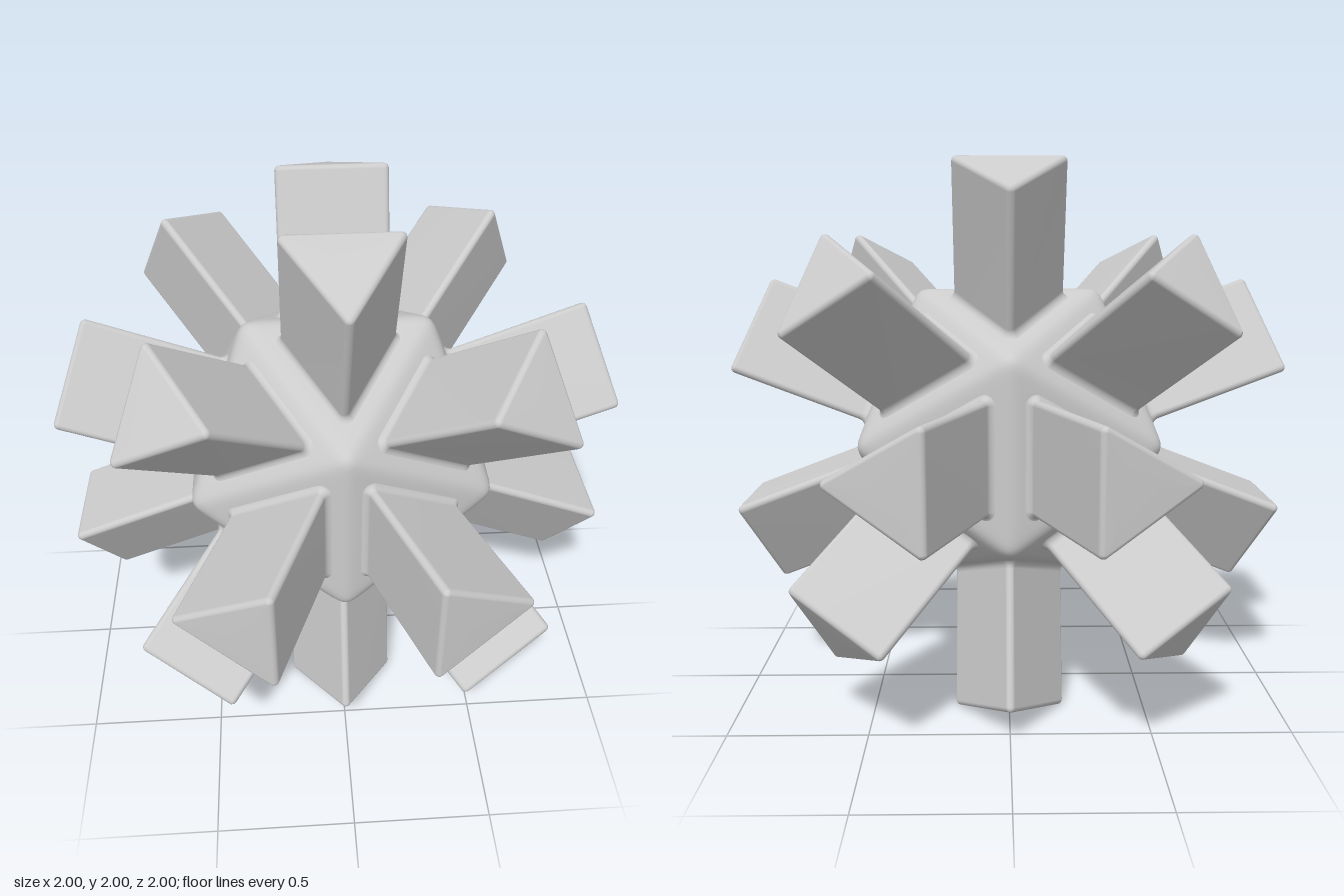
import * as THREE from 'three';
import { mergeVertices } from 'three/addons/utils/BufferGeometryUtils.js';

const INRADIUS = 0.509;   // centre to core face
const TOP = 1.03;         // centre to prism end
const APOTHEM = 0.122;    // prism axis to side
const ROUND = 0.018;      // prism edge radius
const FILLET = 0.03;      // flare where a prism meets the core

// The 20 icosahedron faces as a unit normal and the direction to one corner
function icosahedronFaces() {
  const pos = new THREE.IcosahedronGeometry(1, 0).attributes.position;
  const faces = [];
  for (let i = 0; i < pos.count; i += 3) {
    const [a, b, c] = [0, 1, 2].map(k => new THREE.Vector3().fromBufferAttribute(pos, i + k));
    const normal = a.clone().add(b).add(c).normalize();
    const corner = a.clone().addScaledVector(normal, -a.dot(normal)).normalize();
    faces.push({ normal, corner });
  }
  return faces;
}

// Icosahedron with softly rounded edges: a dense sphere pulled onto the blended face planes
function coreGeometry(faces) {
  let geo = new THREE.IcosahedronGeometry(1, 34);
  geo.deleteAttribute('normal');
  geo.deleteAttribute('uv');
  geo = mergeVertices(geo, 1e-4);
  const pos = geo.attributes.position;
  const v = new THREE.Vector3();
  const k = 60;
  for (let i = 0; i < pos.count; i++) {
    v.fromBufferAttribute(pos, i).normalize();
    let sum = 0;
    for (const f of faces) sum += Math.pow(Math.max(0, f.normal.dot(v)), k);
    v.multiplyScalar(INRADIUS * Math.pow(sum, -1 / k));
    pos.setXYZ(i, v.x, v.y, v.z);
  }
  geo.computeVertexNormals();
  return geo;
}

// Rounded triangular prism along +z, lofted through rings of [outward offset, height]
function prismGeometry() {
  const rings = [[FILLET + 0.025, INRADIUS - 0.025]];
  for (let i = 0; i <= 4; i++) {
    const t = i / 4 * Math.PI / 2;
    rings.push([FILLET * (1 - Math.sin(t)), INRADIUS - 0.003 + FILLET * (1 - Math.cos(t))]);
  }
  for (let i = 0; i <= 4; i++) {
    const t = i / 4 * Math.PI / 2;
    rings.push([-ROUND * (1 - Math.cos(t)), TOP - ROUND * (1 - Math.sin(t))]);
  }
  const steps = 6, n = 3 * (steps + 1);
  const verts = [], index = [];
  for (const [offset, h] of rings) {
    const r = Math.max(ROUND + offset, 0.001);
    for (let c = 0; c < 3; c++) {
      const mid = c * Math.PI * 2 / 3, d = 2 * (APOTHEM - ROUND);
      for (let s = 0; s <= steps; s++) {
        const a = mid + (s / steps - 0.5) * Math.PI * 2 / 3;
        verts.push(d * Math.cos(mid) + r * Math.cos(a), d * Math.sin(mid) + r * Math.sin(a), h);
      }
    }
  }
  for (let j = 0; j < rings.length - 1; j++) {
    for (let i = 0; i < n; i++) {
      const a = j * n + i, b = j * n + (i + 1) % n;
      index.push(a, b, b + n, a, b + n, a + n);
    }
  }
  // end cap
  const last = (rings.length - 1) * n, centre = rings.length * n;
  verts.push(0, 0, TOP);
  for (let i = 0; i < n; i++) index.push(last + i, last + (i + 1) % n, centre);

  const geo = new THREE.BufferGeometry();
  geo.setAttribute('position', new THREE.Float32BufferAttribute(verts, 3));
  geo.setIndex(index);
  geo.computeVertexNormals();
  return geo;
}

export function createModel() {
  const model = new THREE.Group();
  model.name = 'spikedIcosahedron';
  const material = new THREE.MeshStandardMaterial({ color: 0xcccccc });
  const faces = icosahedronFaces();

  const core = new THREE.Mesh(coreGeometry(faces), material);
  core.name = 'core';
  core.position.y = 1;
  model.add(core);

  // one prism standing on every face, its corners in line with the face corners
  const prisms = new THREE.Group();
  prisms.name = 'prisms';
  prisms.position.y = 1;
  const geo = prismGeometry();
  faces.forEach(({ normal, corner }, i) => {
    const prism = new THREE.Mesh(geo, material);
    prism.name = `prism${i + 1}`;
    const side = new THREE.Vector3().crossVectors(normal, corner);
    prism.quaternion.setFromRotationMatrix(new THREE.Matrix4().makeBasis(corner, side, normal));
    prisms.add(prism);
  });
  model.add(prisms);
  return model;
}
